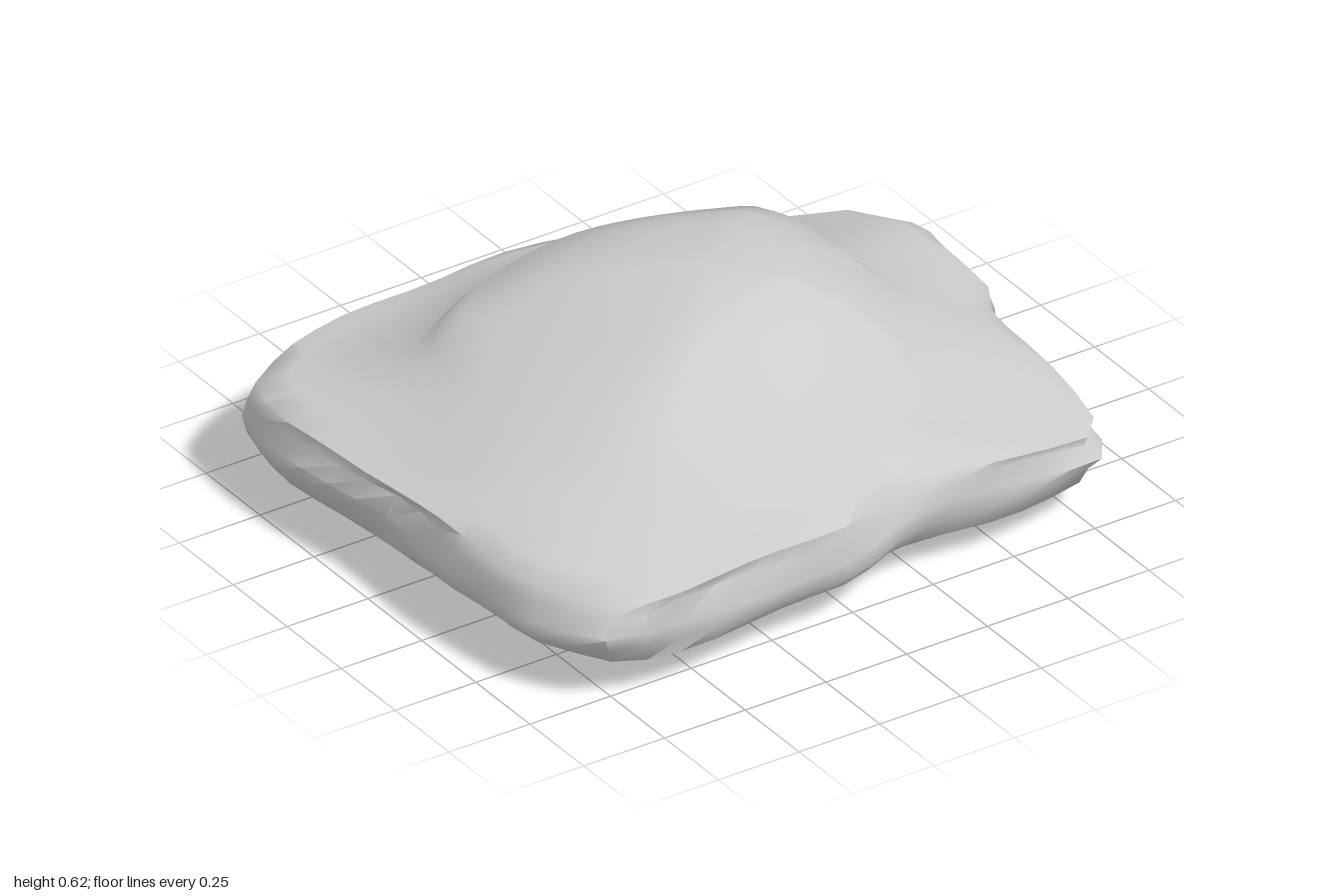
import * as THREE from 'three';
import { mergeVertices, toCreasedNormals } from 'three/addons/utils/BufferGeometryUtils.js';

// Plan outline of the boulder, [x, z], running from +x towards +z
const OUTLINE = [
  [0.96, 0.0], [0.9, 0.1], [0.88, 0.45], [0.83, 0.7], [0.5, 0.74], [0.2, 0.74], [-0.03, 0.83],
  [-0.3, 0.845], [-0.68, 0.855], [-0.81, 0.82], [-0.93, 0.6], [-0.95, 0.3], [-0.94, 0.0],
  [-0.98, -0.3], [-1.0, -0.51], [-0.97, -0.66], [-0.8, -0.77], [-0.48, -0.83], [-0.1, -0.86],
  [0.1, -0.84], [0.45, -0.76], [0.77, -0.69], [0.92, -0.65], [1.0, -0.42], [0.96, -0.15],
];

// Horizontal sections: y, x scale, z scale, centre x, centre z, roundness, rim roughness
const SECTIONS = [
  [0.0, 0, 0, 0.04, -0.04, 0, 0],
  [0.035, 0.28, 0.28, 0.03, -0.03, 0.5, 0],
  [0.055, 0.6, 0.62, 0, -0.03, 0.3, 0],
  [0.07, 0.88, 0.88, 0, 0, 0.05, 0.02],
  [0.1, 0.96, 0.96, 0, 0, 0, 0.03],
  [0.15, 0.99, 0.99, 0, 0, 0, 0.03],
  [0.21, 1, 1, 0, 0, 0, 0.02],
  [0.26, 0.975, 0.975, 0, 0, 0, 0.03],
  [0.3, 0.975, 0.975, 0, 0, 0, 0.03],
  [0.325, 0.9, 0.9, 0, 0, 0.05, 0.02],
  [0.36, 0.755, 0.78, -0.04, 0.01, 0.9, 0],
  [0.43, 0.63, 0.675, -0.02, -0.03, 0.75, 0],
  [0.49, 0.53, 0.56, 0.02, -0.07, 0.5, 0],
  [0.56, 0.37, 0.41, 0.05, -0.06, 0.5, 0],
  [0.615, 0.22, 0.27, 0.07, -0.04, 0.5, 0],
  [0.625, 0, 0, 0.07, -0.04, 0, 0],
];

const SEGMENTS = 60;

function boulderGeometry() {
  const { lerp, smoothstep } = THREE.MathUtils;
  const curve = new THREE.CatmullRomCurve3(
    OUTLINE.map(([x, z]) => new THREE.Vector3(x, 0, z)), true, 'catmullrom', 0.3);
  const plan = curve.getSpacedPoints(SEGMENTS).slice(0, SEGMENTS);
  const positions = [];
  const indices = [];

  SECTIONS.forEach(([y, sx, sz, cx, cz, round, rough], i) => {
    plan.forEach((p, j) => {
      // Blend the squarish outline towards an ellipse higher up the dome
      const a = Math.atan2(p.z / 0.83, p.x / 0.96);
      // Irregular chips around the rim
      const chip = 1 - rough * (0.5 + 0.5 * Math.sin(j * 0.9 + i * 2.3) * Math.cos(j * 0.37 - i));
      const x = cx + sx * chip * lerp(p.x, 0.96 * Math.cos(a), round);
      const z = cz + sz * chip * lerp(p.z, 0.83 * Math.sin(a), round);
      let h = y;
      // The underside tilts down towards the back left corner
      if (y < 0.2 && y > 0) h -= 0.028 * (x - z) * (1 - y / 0.2);
      // The two left corners taper down from the dome
      if (y > 0.2) h -= 0.09 * smoothstep(x * Math.abs(z), 0.22, 0.58) * (y - 0.15) / 0.18;
      // Hollow in the front left flank of the dome
      if (y > 0.3) h -= 0.05 * Math.exp(-((x - 0.42) ** 2 + (z - 0.4) ** 2) / 0.04);
      // Slight waviness of the rim
      if (rough) h += 0.008 * Math.sin(j * 0.6 + i * 1.3);
      positions.push(x, h, z);
    });
  });

  // Quads between rings; the first and last rings are single points, closed by fans
  for (let i = 0; i < SECTIONS.length - 1; i++) {
    for (let j = 0; j < SEGMENTS; j++) {
      const a = i * SEGMENTS + j;
      const b = i * SEGMENTS + (j + 1) % SEGMENTS;
      const c = a + SEGMENTS;
      const d = b + SEGMENTS;
      if (i > 0) indices.push(a, c, b);
      if (i < SECTIONS.length - 2) indices.push(b, c, d);
    }
  }

  const geometry = new THREE.BufferGeometry();
  geometry.setAttribute('position', new THREE.Float32BufferAttribute(positions, 3));
  geometry.setIndex(indices);
  return toCreasedNormals(mergeVertices(geometry, 1e-4), Math.PI / 3);
}

export function createModel() {
  const group = new THREE.Group();
  group.name = 'rock';
  const boulder = new THREE.Mesh(
    boulderGeometry(), new THREE.MeshStandardMaterial({ color: 0xcccccc }));
  boulder.name = 'boulder';
  group.add(boulder);
  return group;
}
